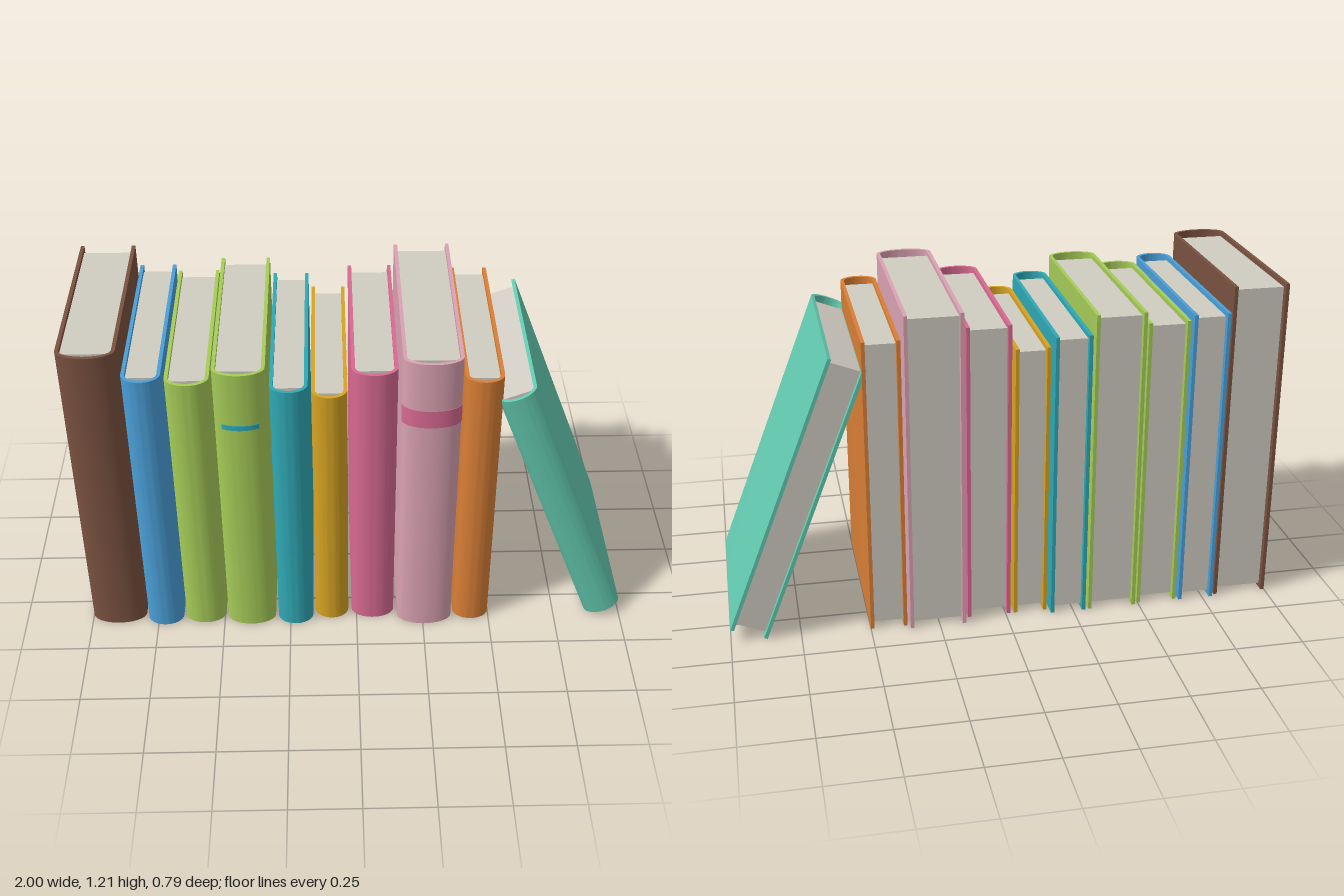
import * as THREE from 'three';
import { toCreasedNormals } from 'three/addons/utils/BufferGeometryUtils.js';

const COLORS = {
  brown: 0x7a5240, blue: 0x4a9fd8, green: 0xa6cc58, teal: 0x2fa9b5, gold: 0xd6a322,
  rose: 0xd96a92, palePink: 0xdaa2b2, orange: 0xd97f36, mint: 0x62c8ae, paper: 0xd0ccc2,
};
const BOARD = 0.013; // cover thickness
const BULGE = 0.05;  // depth of the rounded spine

// Points on the rounded spine, from +x to -x, between two angles
function spineArc(rx, rz, z0, a0 = 0, a1 = Math.PI, n = 28) {
  return Array.from({ length: n + 1 }, (_, i) => {
    const a = a0 + (a1 - a0) * i / n;
    return new THREE.Vector2(rx * Math.cos(a), z0 + rz * Math.sin(a));
  });
}

// Extrude a plan outline (x, z) upward from y0 by h
function extrudeUp(points, y0, h) {
  const g = new THREE.ExtrudeGeometry(new THREE.Shape(points), { depth: h, bevelEnabled: false });
  g.rotateX(Math.PI / 2).translate(0, y0 + h, 0);
  return toCreasedNormals(g, 0.6);
}

export function createModel() {
  const mats = {};
  for (const [name, color] of Object.entries(COLORS)) {
    mats[name] = new THREE.MeshStandardMaterial({ color });
    mats[name].name = name;
  }
  const model = new THREE.Group();
  model.name = 'rowOfBooks';

  function add(parent, name, geometry, color) {
    const mesh = new THREE.Mesh(geometry, mats[color]);
    mesh.name = name;
    parent.add(mesh);
  }

  // Book with a U-shaped cover and an inset block of pages
  function makeBook(name, color, w, h, d) {
    const book = new THREE.Group();
    book.name = name;
    const z0 = d - BULGE, r = w / 2;
    const outline = [
      new THREE.Vector2(r, -d), ...spineArc(r, BULGE, z0), new THREE.Vector2(-r, -d),
      new THREE.Vector2(-r + BOARD, -d),
      ...spineArc(r - BOARD, BULGE - BOARD, z0).reverse(),
      new THREE.Vector2(r - BOARD, -d),
    ];
    add(book, 'cover', extrudeUp(outline, 0, h), color);
    const pages = new THREE.BoxGeometry(w - 2 * BOARD, h - 0.034, 2 * d - 0.074);
    pages.translate(0, h / 2, -0.015);
    add(book, 'pages', pages, 'paper');
    model.add(book);
    return book;
  }

  // Thin painted band following the spine
  function addBand(book, name, color, w, d, y, h, a0) {
    const z0 = d - BULGE, r = w / 2, t = 0.002, a1 = Math.PI - a0;
    const outline = [
      ...spineArc(r + t, BULGE + t, z0, a0, a1),
      ...spineArc(r - t, BULGE - t, z0, a0, a1).reverse(),
    ];
    add(book, name, extrudeUp(outline, y, h), color);
  }

  // Upright books: colour, left edge, right edge, height, half depth
  const upright = [
    ['brown', -1.0, -0.8, 1.213, 0.367],
    ['blue', -0.79, -0.657, 1.123, 0.38],
    ['green', -0.648, -0.497, 1.102, 0.372],
    ['green', -0.487, -0.307, 1.147, 0.383],
    ['teal', -0.296, -0.165, 1.077, 0.385],
    ['gold', -0.155, -0.031, 1.033, 0.357],
    ['rose', -0.018, 0.141, 1.123, 0.357],
    ['palePink', 0.154, 0.358, 1.19, 0.395],
    ['orange', 0.367, 0.5, 1.1, 0.372],
  ];
  upright.forEach(([color, x0, x1, h, d], i) => {
    const w = x1 - x0;
    const book = makeBook('book' + (i + 1), color, w, h, d);
    book.position.x = (x0 + x1) / 2;
    if (i === 3) addBand(book, 'spineLine', 'teal', w, d, 0.92, 0.02, 0.8);
    if (i === 7) addBand(book, 'spineBand', 'rose', w, d, 0.93, 0.07, 0.02);
  });

  // Last book leans against the row, resting on its lower left edge
  const lean = 0.37, w = 0.138;
  const leaning = makeBook('leaningBook', 'mint', w, 1.073, 0.37);
  leaning.rotation.z = lean;
  leaning.position.set(0.871 + w / 2 * Math.cos(lean), w / 2 * Math.sin(lean), 0);

  return model;
}
